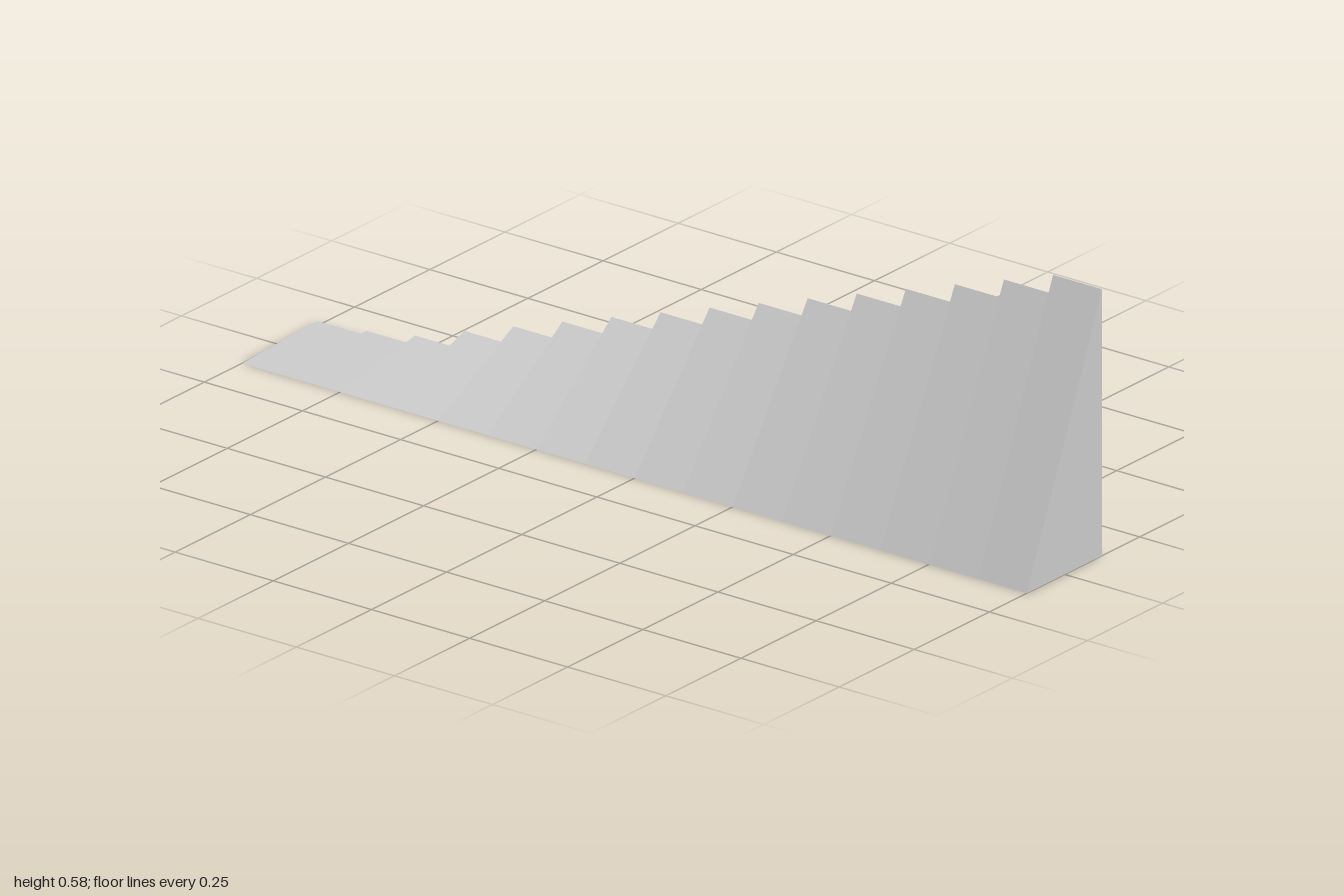
import * as THREE from 'three';

const STEPS = 16;
const WIDTH = 2 / STEPS;
const HALF_DEPTH = 0.125;
const RISE = 1 / 24;

// The first two wedges halve in height; the rest climb evenly.
const wedgeHeight = (i) => (i < 2 ? RISE / 2 ** (2 - i) : RISE * (i - 1));

// Right-triangle section, sloping up from the front edge to the back wall.
function wedgeGeometry(height) {
  const section = new THREE.Shape([
    new THREE.Vector2(HALF_DEPTH, 0),
    new THREE.Vector2(-HALF_DEPTH, height),
    new THREE.Vector2(-HALF_DEPTH, 0),
  ]);
  const geometry = new THREE.ExtrudeGeometry(section, { depth: WIDTH, bevelEnabled: false });
  return geometry.rotateY(-Math.PI / 2); // extrusion now runs towards -x
}

export function createModel() {
  const model = new THREE.Group();
  model.name = 'steppedWedgeRamp';
  const grey = new THREE.MeshStandardMaterial({ color: 0xcccccc });
  grey.name = 'lightGrey';

  // Row of wedges, rising from right to left
  for (let i = 0; i < STEPS; i++) {
    const wedge = new THREE.Mesh(wedgeGeometry(wedgeHeight(i)), grey);
    wedge.name = `wedge${i + 1}`;
    wedge.position.x = -1 + (i + 1) * WIDTH;
    model.add(wedge);
  }
  return model;
}
